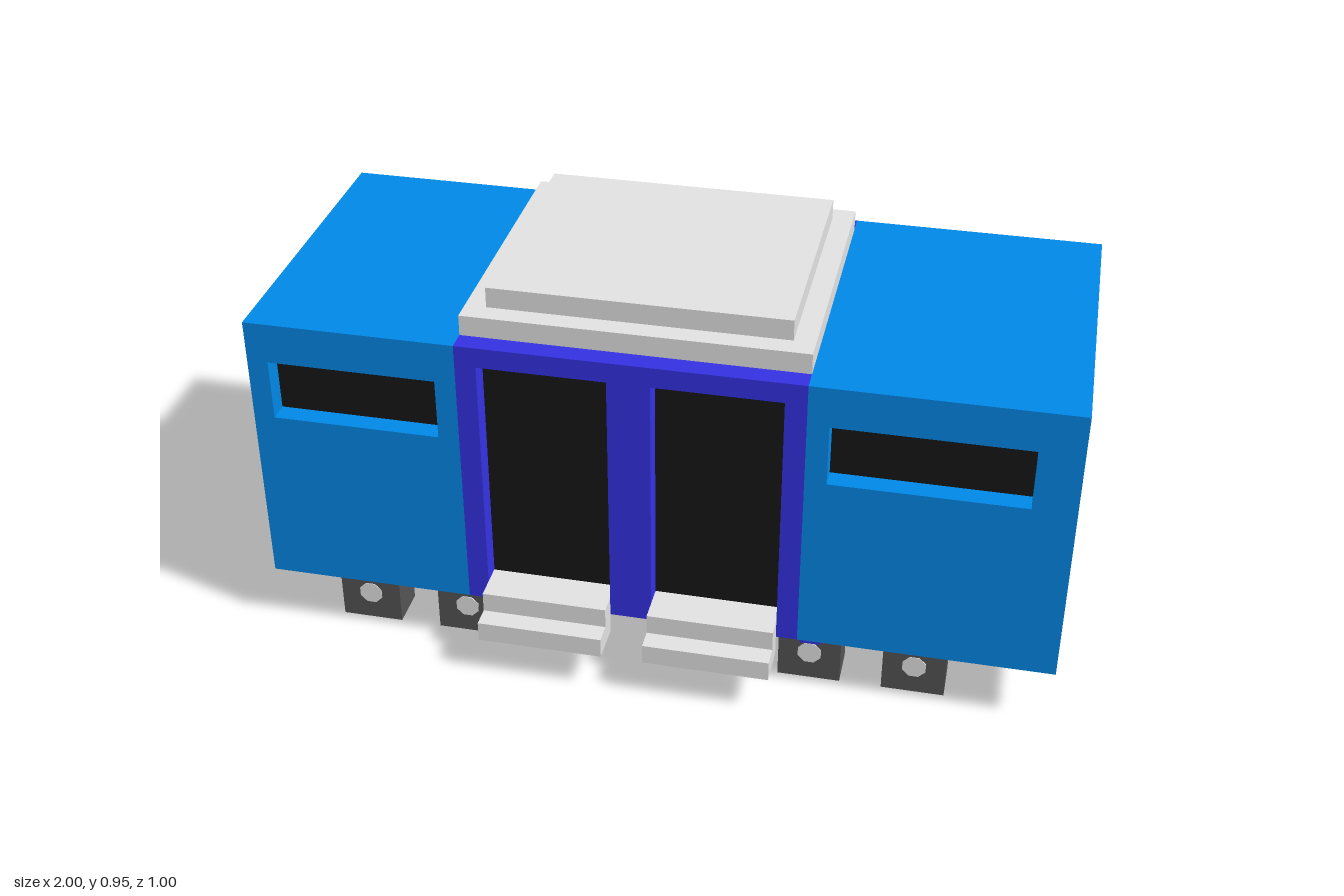
import * as THREE from 'three';

const material = (name, color) => {
  const m = new THREE.MeshStandardMaterial({ color });
  m.name = name;
  return m;
};

export function createModel() {
  const blue = material('body blue', 0x0089e8);
  const purple = material('door frame purple', 0x3432e3);
  const black = material('glass black', 0x161616);
  const light = material('light grey', 0xe3e3e3);
  const dark = material('dark grey', 0x545454);
  const olive = material('floor beige', 0xd8d8b2);

  const model = new THREE.Group();
  model.name = 'railCar';

  const add = (name, geometry, mat) => {
    const mesh = new THREE.Mesh(geometry, mat);
    mesh.name = name;
    model.add(mesh);
    return mesh;
  };
  // Box given by its limits on each axis
  const box = (name, mat, x0, x1, y0, y1, z0, z1) =>
    add(name, new THREE.BoxGeometry(x1 - x0, y1 - y0, z1 - z0), mat)
      .position.set((x0 + x1) / 2, (y0 + y1) / 2, (z0 + z1) / 2);

  const rect = (Type, x0, x1, y0, y1) =>
    new Type([[x0, y0], [x1, y0], [x1, y1], [x0, y1]].map(p => new THREE.Vector2(...p)));
  const extrude = shape =>
    new THREE.ExtrudeGeometry(shape, { depth: 0.05, bevelEnabled: false });
  // Wall panel with one window opening
  const panel = (x0, x1, w0, w1, wy0, wy1) => {
    const shape = rect(THREE.Shape, x0, x1, 0.15, 0.85);
    shape.holes.push(rect(THREE.Path, w0, w1, wy0, wy1));
    return extrude(shape);
  };
  // Door frame: three posts under a lintel, open at the bottom
  const doorFrame = () => extrude(new THREE.Shape([
    [-0.4, 0.15], [-0.35, 0.15], [-0.35, 0.8], [-0.05, 0.8], [-0.05, 0.15], [0.05, 0.15],
    [0.05, 0.8], [0.35, 0.8], [0.35, 0.15], [0.4, 0.15], [0.4, 0.85], [-0.4, 0.85],
  ].map(p => new THREE.Vector2(...p))));

  // Long sides: walls, glass, doors and steps
  for (const s of [1, -1]) {
    const wallZ = s > 0 ? 0.35 : -0.4;
    const sideBox = (name, mat, x0, x1, y0, y1, a, b) =>
      box(name, mat, x0, x1, y0, y1, Math.min(s * a, s * b), Math.max(s * a, s * b));

    add('sideWall', panel(-0.9, -0.4, -0.85, -0.45, 0.6, 0.75), blue).position.z = wallZ;
    add('sideWall', panel(0.4, 1, 0.45, 0.9, 0.6, 0.75), blue).position.z = wallZ;
    add('doorFrame', doorFrame(), purple).position.z = wallZ;
    sideBox('sideWindow', black, -0.85, -0.45, 0.6, 0.75, 0.343, 0.351);
    sideBox('sideWindow', black, 0.45, 0.9, 0.6, 0.75, 0.343, 0.351);

    for (const x of [-0.35, 0.05]) {
      sideBox('door', black, x, x + 0.3, 0.152, 0.8, 0.343, 0.351);
      sideBox('upperStep', light, x, x + 0.3, 0.15, 0.2, 0.352, 0.45);
      sideBox('lowerStep', light, x, x + 0.3, 0.1, 0.15, 0.4, 0.5);
    }
  }

  // End walls and their windows
  for (const [wallX, glassX] of [[0.95, 0.947], [-0.9, -0.847]]) {
    const wall = panel(-0.35, 0.35, -0.3, 0.3, 0.55, 0.75).rotateY(Math.PI / 2);
    add('endWall', wall, blue).position.x = wallX;
    box('endWindow', black, glassX - 0.004, glassX + 0.004, 0.55, 0.75, -0.3, 0.3);
  }

  // Floor, roof and roof unit
  box('floor', olive, -0.85, 0.95, 0.15, 0.2, -0.35, 0.35);
  box('roof', blue, -0.85, 0.95, 0.8, 0.85, -0.35, 0.35);
  box('roofUnitBase', light, -0.4, 0.4, 0.85, 0.9, -0.35, 0.35);
  box('roofUnitTop', light, -0.35, 0.35, 0.9, 0.95, -0.3, 0.3);

  // Coupler
  box('coupler', dark, -1, -0.9, 0.15, 0.25, -0.05, 0.05);

  // Square wheels with eight-sided hubs, joined by axles
  const hubGeometry = new THREE.CylinderGeometry(0.03, 0.03, 0.004, 8)
    .rotateY(Math.PI / 8).rotateX(Math.PI / 2);
  for (const x of [-0.675, -0.425, 0.425, 0.675]) {
    box('axle', light, x - 0.025, x + 0.025, 0.05, 0.1, -0.25, 0.25);
    for (const s of [1, -1]) {
      box('wheel', dark, x - 0.075, x + 0.075, 0, 0.15, s * 0.3 - 0.05, s * 0.3 + 0.05);
      add('hub', hubGeometry, light).position.set(x, 0.075, s * 0.35);
    }
  }
  // Small painted mark above one hub
  box('wheelMark', purple, 0.4, 0.45, 0.103, 0.15, 0.348, 0.3515);

  return model;
}
